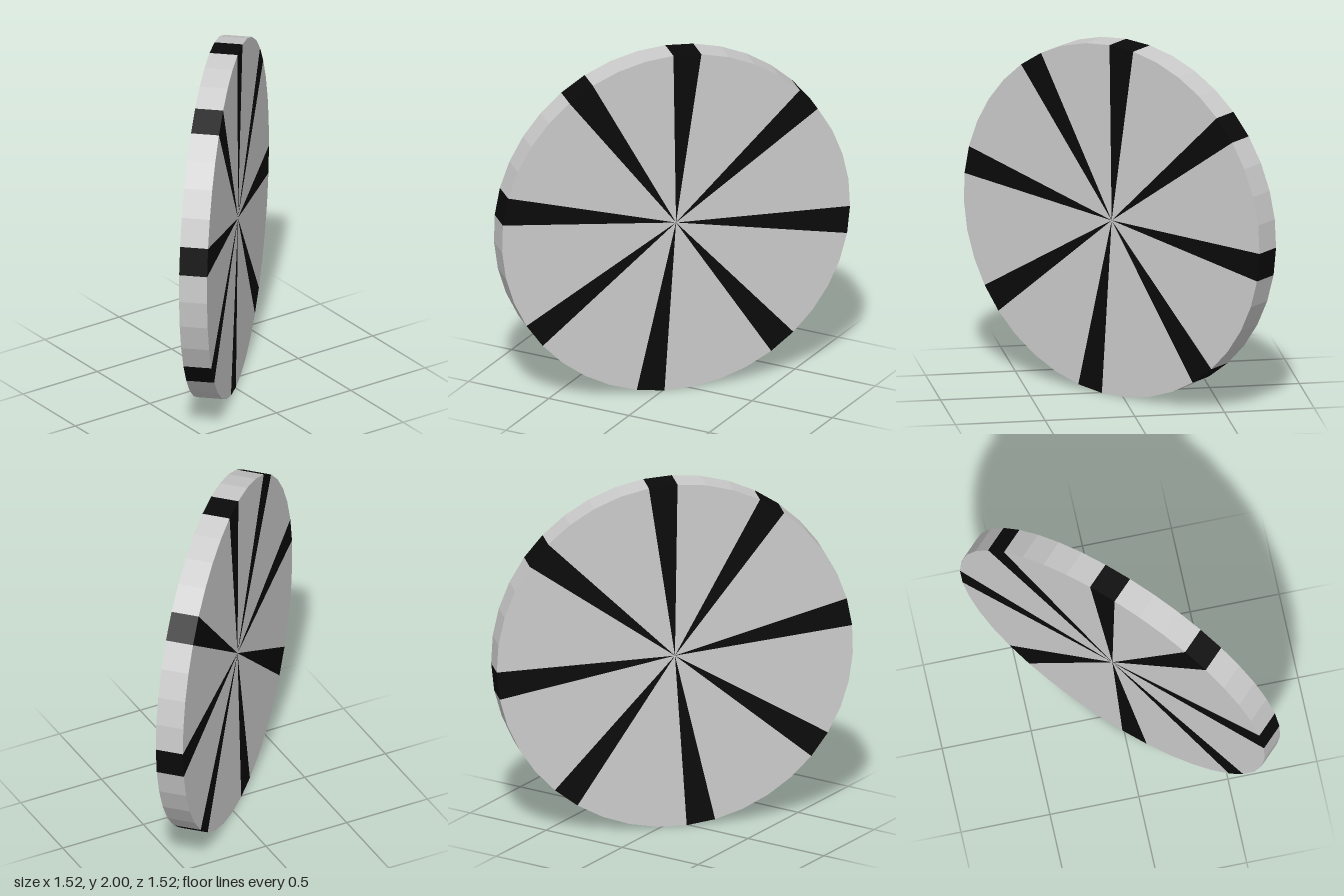
import * as THREE from 'three';

const SIDES = 39;
const STEP = (Math.PI * 2) / SIDES;
const RADIUS = 1.0;
const THICKNESS = 0.156;
const FIRST_SPOKE = THREE.MathUtils.degToRad(81.6); // lower edge of the top spoke

export function createModel() {
  const model = new THREE.Group();
  model.name = 'spokedDisc';

  const grey = new THREE.MeshStandardMaterial({ color: 0xcccccc, flatShading: true });
  const black = new THREE.MeshStandardMaterial({ color: 0x0a0a0a, flatShading: true });

  // disc stands upright, turned 45 degrees
  const disc = new THREE.Group();
  disc.name = 'disc';
  disc.position.y = 1;
  disc.rotation.y = Math.PI / 4;
  model.add(disc);

  // wedge through the full thickness, covering a number of rim facets
  function addWedge(name, firstFacet, facets, material) {
    const start = FIRST_SPOKE + firstFacet * STEP + Math.PI / 2;
    const geometry = new THREE.CylinderGeometry(
      RADIUS, RADIUS, THICKNESS, facets, 1, false, start, facets * STEP);
    geometry.rotateX(Math.PI / 2);
    const wedge = new THREE.Mesh(geometry, material);
    wedge.name = name;
    disc.add(wedge);
  }

  // eight dark spokes, each followed clockwise by a grey panel;
  // the last panel is one facet narrower to close the circle
  for (let i = 0; i < 8; i++) {
    const spoke = -5 * i;
    const panel = i < 7 ? 4 : 3;
    addWedge('darkSpoke' + (i + 1), spoke, 1, black);
    addWedge('greyPanel' + (i + 1), spoke - panel, panel, grey);
  }

  return model;
}
